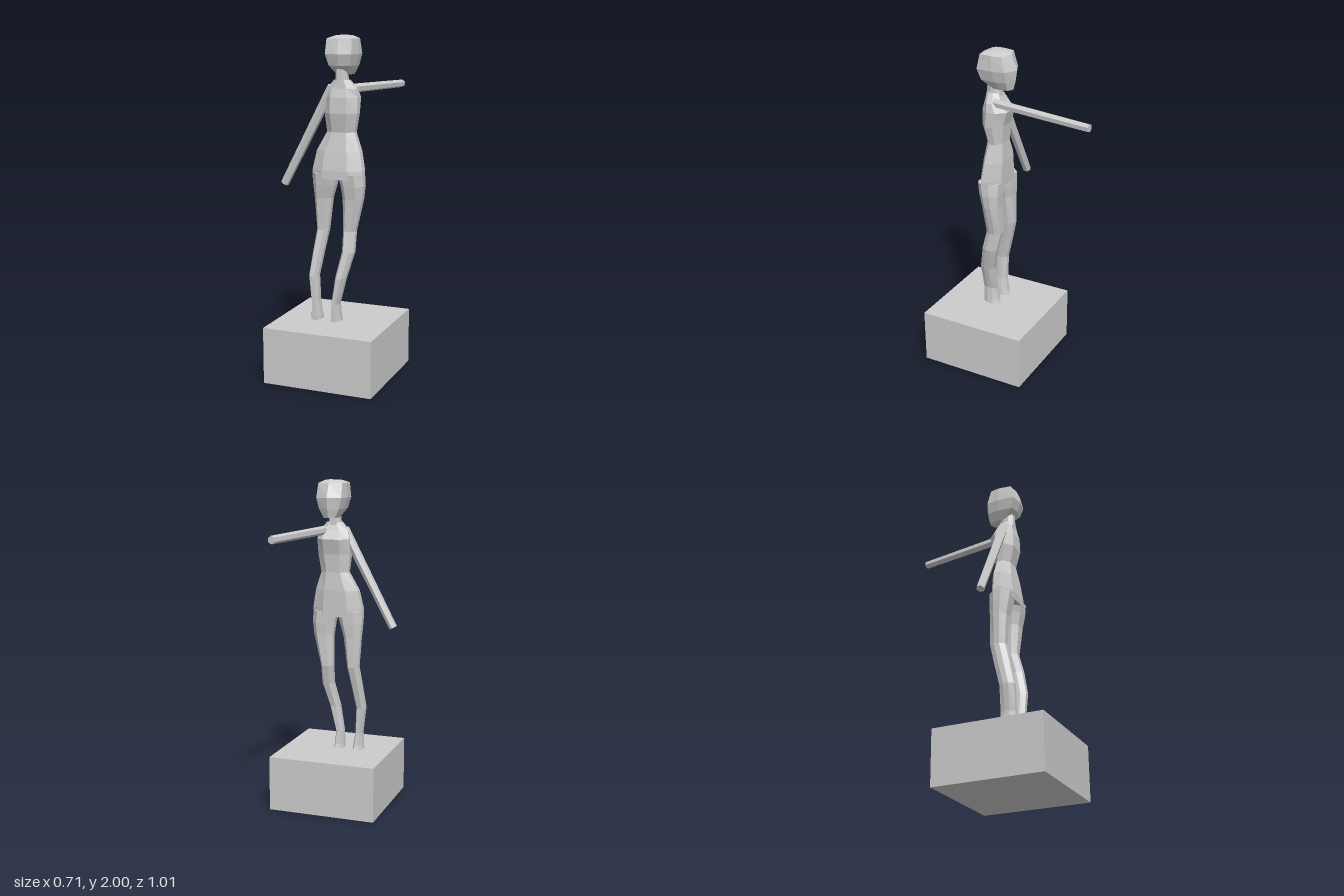
import * as THREE from 'three';

const material = new THREE.MeshStandardMaterial({ color: 0xcccccc, flatShading: true });

// Unit cross-sections, running from +x towards +z
const BODY = [[1, -0.35], [1, 0.35], [0.5, 1], [-0.5, 1], [-1, 0.35], [-1, -0.35], [-0.5, -1], [0.5, -1]];
const SKULL = [[1, 0], [0.9, 0.88], [0, 1], [-0.9, 0.88], [-1, 0], [-0.88, -0.68], [0, -1], [0.88, -0.68]];

// Lofts a closed form through sections [y, xMin, xMax, zMin, zMax], bottom to top
function loft(name, outline, sections) {
  const n = outline.length, positions = [], index = [];
  for (const [y, x0, x1, z0, z1] of sections) {
    for (const [u, v] of outline) {
      positions.push((x0 + x1) / 2 + u * (x1 - x0) / 2, y, (z0 + z1) / 2 + v * (z1 - z0) / 2);
    }
  }
  const last = (sections.length - 1) * n;
  for (let r = 0; r < last; r += n) {
    for (let i = 0; i < n; i++) {
      const j = (i + 1) % n;
      index.push(r + i, r + n + i, r + n + j, r + i, r + n + j, r + j);
    }
  }
  for (let i = 1; i < n - 1; i++) {
    index.push(0, i, i + 1, last, last + i + 1, last + i);
  }
  const indexed = new THREE.BufferGeometry();
  indexed.setAttribute('position', new THREE.Float32BufferAttribute(positions, 3));
  indexed.setIndex(index);
  const geometry = indexed.toNonIndexed();
  geometry.computeVertexNormals();
  const mesh = new THREE.Mesh(geometry, material);
  mesh.name = name;
  return mesh;
}

// Straight six-sided limb between two points
function limb(name, from, to, r0, r1) {
  const a = new THREE.Vector3(...from), b = new THREE.Vector3(...to);
  const direction = b.clone().sub(a);
  const mesh = new THREE.Mesh(new THREE.CylinderGeometry(r1, r0, direction.length(), 6), material);
  mesh.position.copy(a).add(b).multiplyScalar(0.5);
  mesh.quaternion.setFromUnitVectors(new THREE.Vector3(0, 1, 0), direction.normalize());
  mesh.name = name;
  return mesh;
}

export function createModel() {
  const group = new THREE.Group();

  // Plinth
  const plinth = new THREE.Mesh(new THREE.BoxGeometry(0.665, 0.335, 0.67), material);
  plinth.position.set(0.018, 0.1675, 0.17);
  plinth.name = 'plinth';
  group.add(plinth);

  // Legs: shared height and depth, individual side edges
  const legDepth = [
    [0.325, 0.14, 0.255], [0.36, 0.155, 0.255], [0.44, 0.165, 0.255], [0.6, 0.165, 0.255], [0.75, 0.125, 0.22],
    [0.87, 0.095, 0.19], [1.06, 0.095, 0.2], [1.14, 0.09, 0.215], [1.21, 0.09, 0.225],
  ];
  const legSides = {
    rightLeg: [[-0.135, -0.07], [-0.132, -0.072], [-0.127, -0.083], [-0.145, -0.088], [-0.132, -0.068],
      [-0.12, -0.05], [-0.132, -0.025], [-0.138, 0], [-0.14, 0.016]],
    leftLeg: [[-0.01, 0.055], [-0.008, 0.05], [-0.003, 0.044], [0.022, 0.085], [0.05, 0.122],
      [0.045, 0.12], [0.045, 0.165], [0.035, 0.175], [0.016, 0.172]],
  };
  for (const [name, sides] of Object.entries(legSides)) {
    group.add(loft(name, BODY, legDepth.map(([y, z0, z1], i) => [y, ...sides[i], z0, z1])));
  }

  // Torso from hips to shoulders
  group.add(loft('torso', BODY, [
    [1.18, -0.14, 0.173, 0.09, 0.225],
    [1.23, -0.138, 0.172, 0.088, 0.225],
    [1.34, -0.115, 0.152, 0.085, 0.21],
    [1.45, -0.055, 0.115, 0.09, 0.19],
    [1.56, -0.065, 0.135, 0.08, 0.215],
    [1.65, -0.065, 0.135, 0.055, 0.212],
    [1.7, -0.05, 0.125, 0.095, 0.2],
    [1.75, -0.005, 0.085, 0.12, 0.195],
  ]));

  // Neck and head
  group.add(loft('neck', BODY, [
    [1.72, 0, 0.075, 0.11, 0.2],
    [1.81, 0.005, 0.07, 0.115, 0.195],
  ]));
  group.add(loft('head', SKULL, [
    [1.778, 0, 0.08, 0.035, 0.155],
    [1.83, -0.03, 0.112, 0.02, 0.22],
    [1.895, -0.048, 0.13, 0.01, 0.24],
    [1.982, -0.045, 0.125, 0.045, 0.217],
    [2.0, 0, 0.08, 0.08, 0.165],
  ]));

  // One arm hanging outwards, one stretched towards the rear
  group.add(limb('rightArm', [-0.02, 1.71, 0.155], [-0.335, 1.125, 0.145], 0.03, 0.025));
  group.add(limb('leftArm', [0.088, 1.7, 0.155], [0.175, 1.69, -0.5], 0.027, 0.024));

  return group;
}
